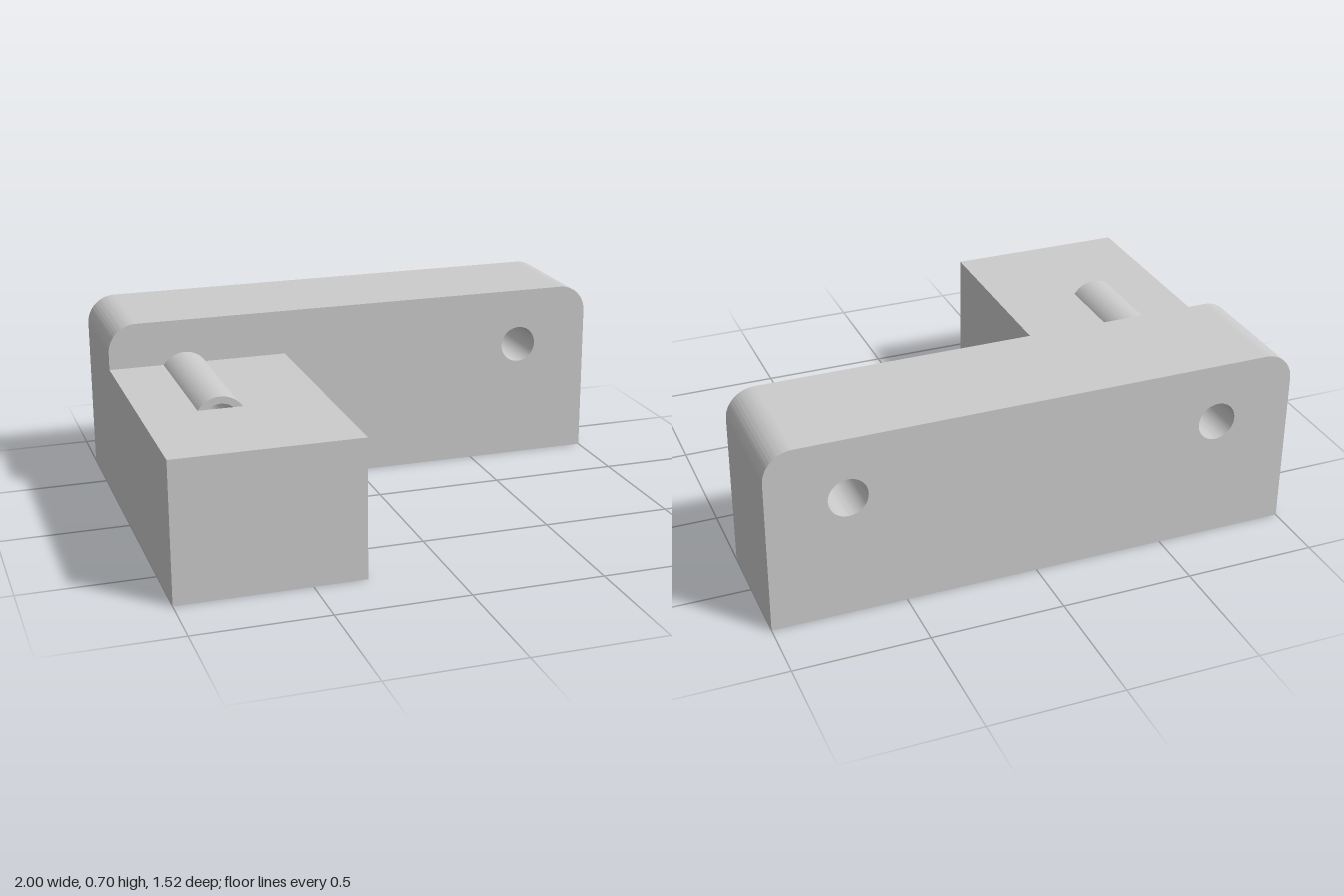
import * as THREE from 'three';
import { mergeGeometries, toCreasedNormals } from 'three/addons/utils/BufferGeometryUtils.js';

const BACK = -0.76, FRONT = 0.76, STEP = -0.295;   // z of back, front, and bar/arm junction
const BAR_H = 0.705, FILLET = 0.11;
const ARM_L = -1, ARM_R = -0.3, ARM_H = 0.53;
const BORE_X = 0.705, BORE_Y = 0.475, BORE_R = 0.073, TUBE_R = 0.1, TUBE_END = 0.295;
const GROOVE_Z = 0.235, GROOVE_R = 0.12;

const X = new THREE.Vector3(1, 0, 0), Y = new THREE.Vector3(0, 1, 0), Z = new THREE.Vector3(0, 0, 1);
const neg = (v) => v.clone().negate();

function rect(x0, y0, x1, y1, Type = THREE.Shape) {
  return new Type([[x0, y0], [x1, y0], [x1, y1], [x0, y1]].map((p) => new THREE.Vector2(...p)));
}

// Flat face whose shape axes are u and v; it faces along u x v
function panel(shape, u, v, origin) {
  const w = u.clone().cross(v);
  const m = new THREE.Matrix4().makeBasis(u, v, w).setPosition(...origin);
  return new THREE.ShapeGeometry(shape, 32).applyMatrix4(m);
}

export function createModel() {
  const group = new THREE.Group();
  const solid = new THREE.MeshStandardMaterial({ color: 0xcccccc });
  const inner = new THREE.MeshStandardMaterial({ color: 0xcccccc, side: THREE.BackSide });
  const add = (name, geometry, material = solid) => {
    const mesh = new THREE.Mesh(geometry, material);
    mesh.name = name;
    group.add(mesh);
  };

  // Back bar: rounded upper corners and two through holes
  const bar = new THREE.Shape();
  bar.moveTo(-1, 0);
  bar.lineTo(1, 0);
  bar.lineTo(1, BAR_H - FILLET);
  bar.absarc(1 - FILLET, BAR_H - FILLET, FILLET, 0, Math.PI / 2, false);
  bar.lineTo(-1 + FILLET, BAR_H);
  bar.absarc(-1 + FILLET, BAR_H - FILLET, FILLET, Math.PI / 2, Math.PI, false);
  for (const s of [-1, 1]) {
    bar.holes.push(new THREE.Path().absarc(s * BORE_X, BORE_Y, BORE_R, 0, Math.PI * 2, true));
  }
  const barGeo = new THREE.ExtrudeGeometry(bar, { depth: STEP - BACK, bevelEnabled: false, curveSegments: 32 });
  add('backBar', toCreasedNormals(barGeo.translate(0, 0, BACK), 0.5));

  // Arm: flat outer faces, opened where the bore and the groove cut through
  const rise = ARM_H - BORE_Y;
  const slot = Math.sqrt(BORE_R ** 2 - rise ** 2);
  const top = rect(ARM_L, -FRONT, ARM_R, -STEP);
  top.holes.push(rect(-BORE_X - slot, -TUBE_END, -BORE_X + slot, -STEP - 0.0001, THREE.Path));
  const bottom = rect(ARM_L, STEP, ARM_R, FRONT);
  bottom.holes.push(rect(-BORE_X, GROOVE_Z - GROOVE_R, ARM_R - 0.0001, GROOVE_Z + GROOVE_R, THREE.Path));
  const innerSide = new THREE.Shape();
  innerSide.moveTo(-FRONT, 0);
  innerSide.lineTo(-GROOVE_Z - GROOVE_R, 0);
  innerSide.absarc(-GROOVE_Z, 0, GROOVE_R, Math.PI, 0, true);
  innerSide.lineTo(-STEP, 0);
  innerSide.lineTo(-STEP, ARM_H);
  innerSide.lineTo(-FRONT, ARM_H);
  add('arm', mergeGeometries([
    panel(rect(ARM_L, 0, ARM_R, ARM_H), X, Y, [0, 0, FRONT]),
    panel(rect(STEP, 0, FRONT, ARM_H), Z, Y, [ARM_L, 0, 0]),
    panel(innerSide, neg(Z), Y, [ARM_R, 0, 0]),
    panel(top, X, neg(Z), [0, ARM_H, 0]),
    panel(bottom, X, Z, [0, 0, 0]),
  ]));

  // Half-round groove under the arm, closed at its outer end
  const grooveLen = ARM_R + BORE_X;
  const groove = new THREE.CylinderGeometry(GROOVE_R, GROOVE_R, grooveLen, 32, 1, true, 0, Math.PI);
  add('grooveWall', groove.rotateZ(Math.PI / 2).translate(ARM_R - grooveLen / 2, 0, GROOVE_Z), inner);
  const half = new THREE.Shape().absarc(0, 0, GROOVE_R, 0, Math.PI, false);
  add('grooveEnd', panel(half, neg(Z), Y, [-BORE_X, 0, GROOVE_Z]));

  // Tube ridge over the bore, with a thin end face
  const len = TUBE_END - STEP, midZ = (TUBE_END + STEP) / 2;
  const a = Math.acos(rise / TUBE_R), b = Math.acos(rise / BORE_R);
  const ridge = new THREE.CylinderGeometry(TUBE_R, TUBE_R, len, 32, 1, true, Math.PI - a, 2 * a);
  add('tubeRidge', ridge.rotateX(Math.PI / 2).translate(-BORE_X, BORE_Y, midZ));
  const rim = new THREE.Shape();
  rim.absarc(0, 0, TUBE_R, Math.PI / 2 - a, Math.PI / 2 + a, false);
  rim.absarc(0, 0, BORE_R, Math.PI / 2 + b, Math.PI / 2 - b, true);
  add('tubeEnd', panel(rim, X, Y, [-BORE_X, BORE_Y, TUBE_END]));

  // Bore through the arm, blocked at the front below the arm's top
  const bore = new THREE.CylinderGeometry(BORE_R, BORE_R, len, 48, 1, true);
  add('boreWall', bore.rotateX(Math.PI / 2).translate(-BORE_X, BORE_Y, midZ), inner);
  const stop = new THREE.Shape().absarc(0, 0, BORE_R, Math.PI / 2 + b, Math.PI * 2.5 - b, false);
  add('boreEnd', panel(stop, neg(X), Y, [-BORE_X, BORE_Y, TUBE_END]));

  return group;
}
